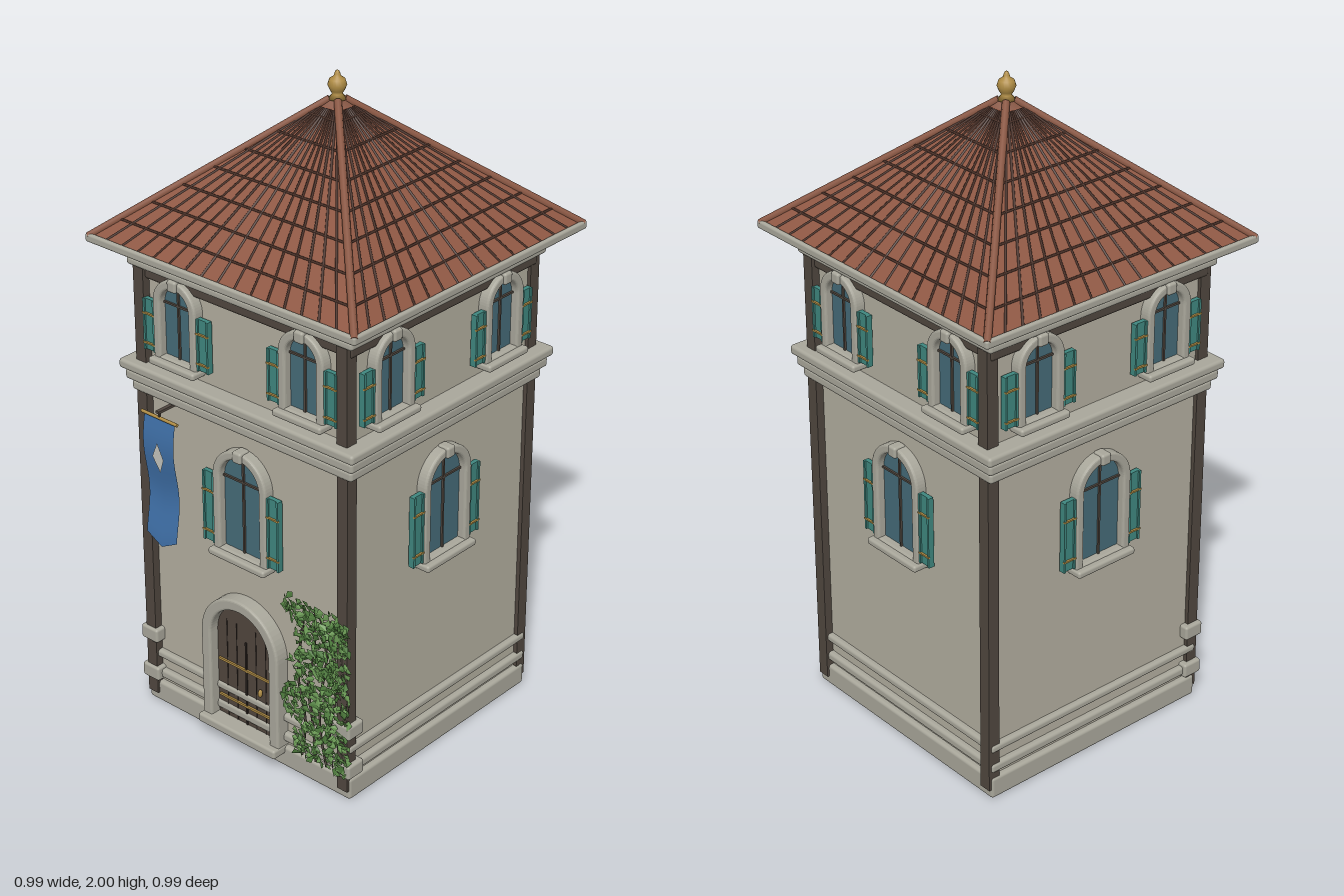
import * as THREE from 'three';
import { mergeGeometries } from 'three/addons/utils/BufferGeometryUtils.js';
import { RoundedBoxGeometry } from 'three/addons/geometries/RoundedBoxGeometry.js';

const mat = (color, extra = {}) => new THREE.MeshStandardMaterial({ color, ...extra });
const M = {
  wall: mat(0xb3ae9f), stone: mat(0xa9a79b), wood: mat(0x50473f), door: mat(0x51453d),
  dark: mat(0x2c2521), glass: mat(0x456b78), shutter: mat(0x3f877f), gold: mat(0xb08d45),
  roof: mat(0x8f5844, { flatShading: true }), seam: mat(0x4a3128), ridge: mat(0x8a5743),
  cloth: mat(0x3f70a8, { side: THREE.DoubleSide }), emblem: mat(0xc4c4bd, { side: THREE.DoubleSide }),
  leafA: mat(0x4d7a3c, { side: THREE.DoubleSide }), leafB: mat(0x6b9a55, { side: THREE.DoubleSide }),
};
const WALL = 0.385;

function add(parent, name, geo, material, x = 0, y = 0, z = 0) {
  const m = new THREE.Mesh(geo, material);
  m.name = name;
  m.position.set(x, y, z);
  parent.add(m);
  return m;
}
const box = (w, h, d) => new THREE.BoxGeometry(w, h, d);
const rbox = (w, h, d, r = 0.008) => new RoundedBoxGeometry(w, h, d, 2, Math.min(r, h / 2.1, d / 2.1, w / 2.1));

// Round bar between two points
function bar(a, b, r, sides = 6) {
  const d = b.clone().sub(a);
  const g = new THREE.CylinderGeometry(r, r, d.length(), sides);
  g.applyQuaternion(new THREE.Quaternion().setFromUnitVectors(new THREE.Vector3(0, 1, 0), d.normalize()));
  return g.translate((a.x + b.x) / 2, (a.y + b.y) / 2, (a.z + b.z) / 2);
}

// Round-headed outline standing on y = 0
function arch(half, height, C = THREE.Shape) {
  const s = new C();
  s.moveTo(-half, 0);
  s.lineTo(half, 0);
  s.lineTo(half, height - half);
  s.absarc(0, height - half, half, 0, Math.PI, false);
  s.lineTo(-half, 0);
  return s;
}
const archPanel = (half, height, depth) =>
  new THREE.ExtrudeGeometry(arch(half, height), { depth, bevelEnabled: false, curveSegments: 16 });
function archSurround(half, height, t, depth) {
  const s = arch(half + t - 0.007, height + t - 0.007);
  s.holes.push(arch(half + 0.007, height - 0.007 + 0.014, THREE.Path));
  return new THREE.ExtrudeGeometry(s, {
    depth: depth - 0.007, bevelThickness: 0.007, bevelSize: 0.007, bevelSegments: 3, curveSegments: 16,
  });
}

// Arched window with sill, keystone and open shutters; local z = 0 is the wall
function makeWindow(half, height, shutterH) {
  const g = new THREE.Group();
  g.name = 'window';
  const t = 0.027;
  add(g, 'glass', archPanel(half + 0.005, height + 0.005, 0.008), M.glass);
  add(g, 'windowSurround', archSurround(half, height, t, 0.033), M.stone);
  add(g, 'mullion', box(0.006, height, 0.008), M.wood, 0, height / 2, 0.01);
  add(g, 'transom', box(half * 2, 0.006, 0.008), M.wood, 0, height - half, 0.01);
  add(g, 'keystone', rbox(0.034, 0.036, 0.042), M.stone, 0, height + 0.014, 0.02);
  add(g, 'sill', rbox(half * 2 + 0.066, 0.022, 0.055), M.stone, 0, -0.009, 0.024);
  for (const s of [-1, 1]) {
    const x = s * (half + t + 0.021);
    add(g, 'shutter', box(0.044, shutterH, 0.014), M.shutter, x, 0.006 + shutterH / 2, 0.016);
    for (const e of [-1, 1])
      add(g, 'shutterStile', box(0.007, shutterH, 0.006), M.shutter, x + e * 0.0185, 0.006 + shutterH / 2, 0.025);
    for (const f of [0.18, 0.76])
      add(g, 'shutterHinge', box(0.046, 0.005, 0.006), M.gold, x, shutterH * f, 0.027);
  }
  return g;
}

function makeDoor() {
  const g = new THREE.Group();
  g.name = 'door';
  g.position.set(0, 0.06, WALL);
  add(g, 'doorLeaf', archPanel(0.12, 0.42, 0.012), M.door);
  add(g, 'doorSurround', archSurround(0.114, 0.415, 0.036, 0.045), M.stone);
  add(g, 'doorStep', rbox(0.305, 0.03, 0.08), M.stone, 0, 0, 0.025);
  for (const x of [-0.076, -0.038, 0.038, 0.076])
    add(g, 'plankGroove', box(0.003, 0.34, 0.003), M.dark, x, 0.18, 0.012);
  add(g, 'centreGroove', box(0.006, 0.3, 0.005), M.dark, 0, 0.15, 0.013);
  for (const y of [0.08, 0.205]) add(g, 'doorStrap', box(0.215, 0.007, 0.006), M.gold, 0, y, 0.015);
  add(g, 'doorHandle', new THREE.SphereGeometry(0.008, 10, 8).scale(0.8, 1.6, 1), M.gold, 0.06, 0.155, 0.02);
  return g;
}

function makeRoof() {
  const g = new THREE.Group();
  g.name = 'roof';
  const H = 0.487, top = 1.93, rise = 0.4;
  const at = (u, t, lift = 0) => new THREE.Vector3(u * H * t, top - rise * t + lift, H * t);
  add(g, 'roofSlopes', new THREE.ConeGeometry(H * Math.SQRT2, rise, 4).rotateY(Math.PI / 4), M.roof, 0, top - rise / 2, 0);
  // Tile seams: courses across, ribs fanning from the peak
  const seams = [], hips = [];
  for (let k = 0; k < 4; k++) {
    const side = [];
    for (let i = 1; i <= 7; i++) side.push(bar(at(-1, i / 8), at(1, i / 8), 0.004, 5));
    for (let i = 1; i < 16; i++) side.push(bar(at(i / 8 - 1, 0.08), at(i / 8 - 1, 1), 0.0038, 5));
    seams.push(...side.map((s) => s.rotateY(k * Math.PI / 2)));
    hips.push(bar(at(1, 0.03), at(1, 1), 0.011, 8).rotateY(k * Math.PI / 2));
    const e = new THREE.Group();
    e.rotation.y = k * Math.PI / 2;
    add(e, 'eaveTrim', rbox(0.99, 0.026, 0.016), M.stone, 0, 1.526, 0.487);
    g.add(e);
  }
  add(g, 'tileSeams', mergeGeometries(seams), M.seam);
  add(g, 'hipRidges', mergeGeometries(hips), M.ridge);
  add(g, 'peakCap', new THREE.ConeGeometry(0.06, 0.045, 4).rotateY(Math.PI / 4), M.ridge, 0, 1.916, 0);
  const profile = [[0, 1.915], [0.026, 1.918], [0.014, 1.932], [0.02, 1.942], [0.027, 1.958], [0.022, 1.974],
    [0.01, 1.982], [0.008, 1.99], [0.005, 1.997], [0, 2]].map(([x, y]) => new THREE.Vector2(x, y));
  add(g, 'finial', new THREE.LatheGeometry(profile, 20), M.gold);
  return g;
}

function makeBanner() {
  const g = new THREE.Group();
  g.name = 'banner';
  g.position.set(-0.265, 0, 0.455);
  const wave = (y) => 0.009 * Math.sin((1.02 - y) * 19);
  // Cloth with a pointed hem, rippled along its height
  const cloth = new THREE.PlaneGeometry(0.12, 1, 2, 24);
  const p = cloth.attributes.position;
  for (let i = 0; i < p.count; i++) {
    const hem = Math.abs(p.getX(i)) < 0.01 ? 0.607 : 0.638;
    const y = THREE.MathUtils.lerp(hem, 1.022, p.getY(i) + 0.5);
    p.setY(i, y);
    p.setZ(i, wave(y));
  }
  cloth.computeVertexNormals();
  add(g, 'cloth', cloth, M.cloth);
  const d = new THREE.CircleGeometry(0.05, 4).scale(0.44, 1, 1);
  const q = d.attributes.position;
  for (let i = 0; i < q.count; i++) q.setZ(i, wave(0.9 + q.getY(i)) + 0.005);
  add(g, 'diamond', d, M.emblem, 0, 0.9, 0);
  add(g, 'bannerRod', new THREE.CylinderGeometry(0.005, 0.005, 0.14, 8).rotateZ(Math.PI / 2), M.gold, 0, 1.025, 0);
  add(g, 'bannerBracket', box(0.012, 0.008, 0.08), M.wood, 0, 1.045, -0.032);
  add(g, 'bannerHook', box(0.006, 0.024, 0.006), M.wood, 0, 1.036, 0);
  return g;
}

function makeIvy() {
  const g = new THREE.Group();
  g.name = 'ivy';
  let seed = 7;
  const rnd = () => (seed = (seed * 16807) % 2147483647) / 2147483647;
  const leaf = new THREE.BufferGeometry();
  leaf.setAttribute('position', new THREE.Float32BufferAttribute(
    [0, -0.014, 0, 0.010, 0.003, -0.003, 0, 0.014, 0, 0, -0.014, 0, 0, 0.014, 0, -0.010, 0.003, -0.003], 3));
  leaf.computeVertexNormals();
  const sets = [[], []], dummy = new THREE.Object3D();
  for (let i = 0; i < 620; i++) {
    const y = 0.09 + rnd() * 0.52;
    const left = 0.195 + 0.02 * Math.sin(y * 17) + 0.012 * Math.sin(y * 41);
    dummy.position.set(left + rnd() * (0.408 - left), y, 0.413 + rnd() * 0.018);
    dummy.rotation.set((rnd() - 0.5) * 0.9, (rnd() - 0.5) * 0.9, rnd() * Math.PI * 2);
    dummy.scale.setScalar(0.75 + rnd() * 0.5);
    dummy.updateMatrix();
    sets[i % 2].push(leaf.clone().applyMatrix4(dummy.matrix));
  }
  add(g, 'darkLeaves', mergeGeometries(sets[0]), M.leafA);
  add(g, 'lightLeaves', mergeGeometries(sets[1]), M.leafB);
  for (let i = 0; i < 5; i++) {
    const pts = [0, 1, 2, 3, 4].map((k) =>
      new THREE.Vector3(0.225 + i * 0.04 + 0.015 * Math.sin(k * 2 + i), 0.08 + k * 0.125, 0.408));
    add(g, 'ivyStem', new THREE.TubeGeometry(new THREE.CatmullRomCurve3(pts), 16, 0.004, 5), M.wood);
  }
  return g;
}

export function createModel() {
  const model = new THREE.Group();
  model.name = 'tower';
  add(model, 'walls', box(WALL * 2, 1.43, WALL * 2), M.wall, 0, 0.735, 0);

  // Horizontal courses: [name, half width, bottom, top, material]
  const courses = [
    ['plinth', 0.403, 0, 0.07, M.stone], ['lowerBand', 0.403, 0.087, 0.117, M.stone],
    ['upperBand', 0.403, 0.156, 0.182, M.stone], ['corniceLow', 0.415, 1.05, 1.082, M.stone],
    ['corniceMiddle', 0.428, 1.085, 1.118, M.stone], ['corniceTop', 0.44, 1.12, 1.15, M.stone],
    ['wallPlate', 0.4, 1.408, 1.447, M.wood], ['topMoulding', 0.417, 1.442, 1.468, M.stone],
  ];
  for (const [name, h, a, b, m] of courses) add(model, name, rbox(h * 2, b - a, h * 2, 0.01), m, 0, (a + b) / 2, 0);

  // Corner posts, and quoin blocks on the front corners
  for (const sx of [-1, 1]) {
    for (const sz of [-1, 1]) {
      add(model, 'lowerPost', box(0.038, 1.04, 0.038), M.wood, sx * 0.379, 0.55, sz * 0.391);
      add(model, 'upperPost', box(0.038, 0.34, 0.038), M.wood, sx * 0.377, 1.31, sz * 0.391);
    }
    for (const y of [0.103, 0.238]) add(model, 'quoin', rbox(0.066, 0.046, 0.066), M.stone, sx * 0.38, y, 0.386);
  }

  // Each side carries one tall window and a pair above
  for (let k = 0; k < 4; k++) {
    const side = new THREE.Group();
    side.name = 'wallSide';
    side.rotation.y = k * Math.PI / 2;
    for (const [x, y, half, h, sh] of [[0, 0.655, 0.075, 0.31, 0.225], [-0.235, 1.19, 0.055, 0.225, 0.158], [0.235, 1.19, 0.055, 0.225, 0.158]]) {
      const w = makeWindow(half, h, sh);
      w.position.set(x, y, WALL);
      side.add(w);
    }
    model.add(side);
  }
  model.add(makeDoor(), makeRoof(), makeBanner(), makeIvy());
  return model;
}
